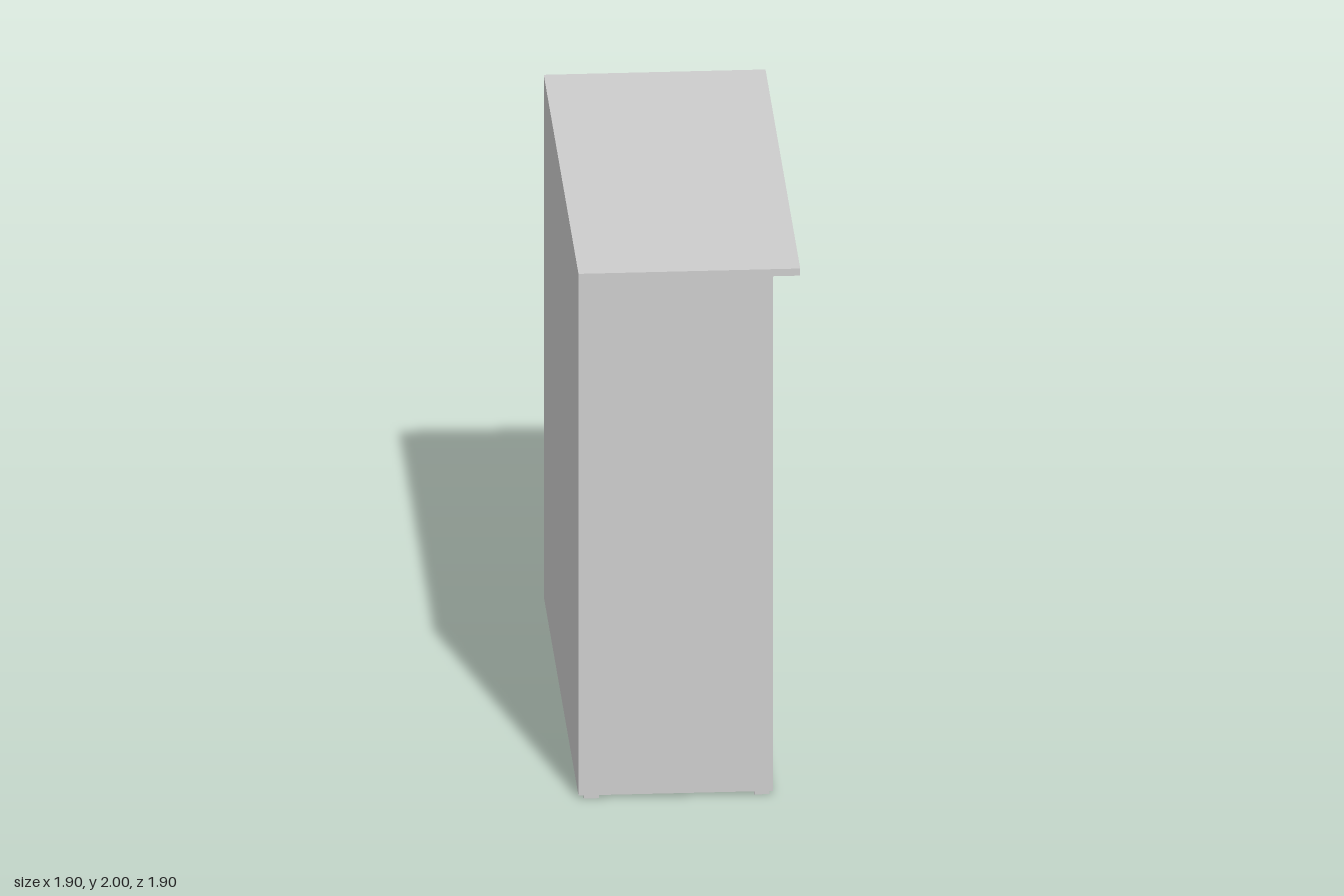
import * as THREE from 'three';

const WIDTH = 1.896, TOP_DEPTH = 0.786;
const BACK = -0.393, FRONT = 0.297; // body depth range; the top overhangs the front
const FOOT = 0.012, TOP_Y = 1.973, PANEL = 0.046, FLOOR_Y = 0.026;
const BACK_FACE = -0.337;

export function createModel() {
  const paint = new THREE.MeshStandardMaterial({ color: 0xcccccc });
  paint.name = 'light grey';
  const cabinet = new THREE.Group();
  cabinet.name = 'cabinet';

  // Box given by its minimum and maximum corners
  const board = (name, min, max) => {
    const size = max.map((m, i) => m - min[i]);
    const mesh = new THREE.Mesh(new THREE.BoxGeometry(...size), paint);
    mesh.position.set(...max.map((m, i) => (m + min[i]) / 2));
    mesh.name = name;
    cabinet.add(mesh);
  };

  const half = WIDTH / 2, inner = half - PANEL;

  board('top', [-half, TOP_Y, BACK], [half, 2, BACK + TOP_DEPTH]);
  board('floor', [-inner, FOOT, BACK_FACE], [inner, FLOOR_Y, FRONT]);
  board('backPanel', [-inner, FOOT, BACK], [inner, TOP_Y, BACK_FACE]);

  // Side panels, each on two small feet
  for (const [side, s] of [['right', -1], ['left', 1]]) {
    const x = s * (half - PANEL / 2), h = PANEL / 2;
    board(side + 'Panel', [x - h, FOOT, BACK], [x + h, TOP_Y, FRONT]);
    for (const [end, z] of [['Back', -0.347], ['Front', 0.257]]) {
      board(side + end + 'Foot', [x - h, 0, z - 0.027], [x + h, FOOT, z + 0.027]);
    }
  }

  // The cabinet stands diagonally, its open side towards +x +z
  cabinet.rotation.y = Math.PI / 4;
  const model = new THREE.Group();
  model.name = 'openCabinet';
  model.add(cabinet);
  return model;
}
